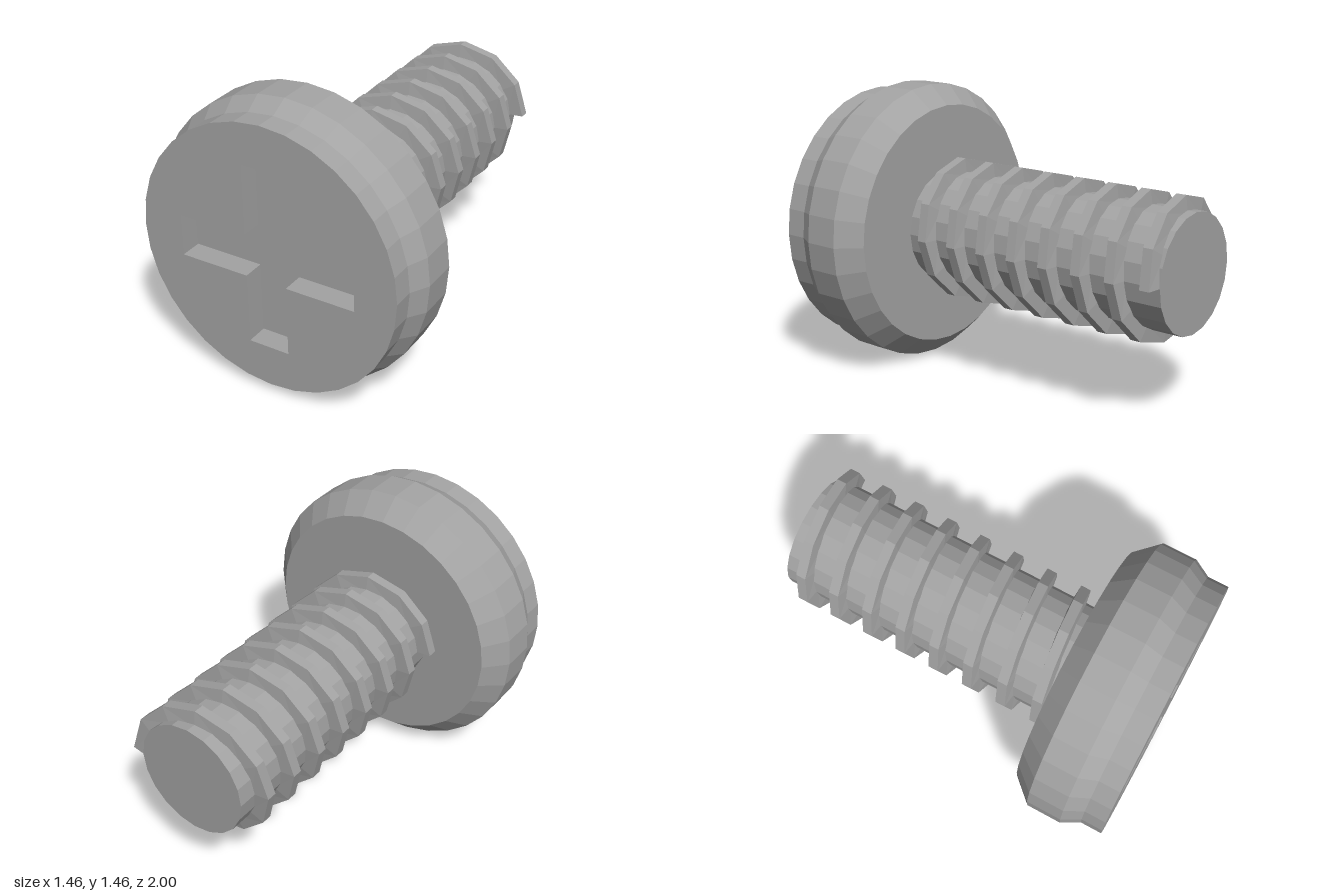
import * as THREE from 'three';

const AXIS_Y = 0.73; // height of the screw's axis

export function createModel() {
  const steel = new THREE.MeshStandardMaterial({ color: 0xa3a3a3, flatShading: true });
  steel.name = 'steel grey';

  const screw = new THREE.Group();
  screw.name = 'screw';

  const add = (name, geometry) => {
    const mesh = new THREE.Mesh(geometry, steel);
    mesh.name = name;
    mesh.position.y = AXIS_Y;
    screw.add(mesh);
  };

  // Head body: bevelled profile as [radius, z], closed at both ends
  const profile = [[0, 0.51], [0.63, 0.51], [0.73, 0.62], [0.73, 0.8], [0.68, 0.89], [0, 0.89]];
  const body = new THREE.LatheGeometry(profile.map(([r, z]) => new THREE.Vector2(r, z)), 32);
  add('headBody', body.rotateX(Math.PI / 2));

  // Head front: disc pierced by the cross-shaped drive recess
  const disc = new THREE.Shape();
  for (let i = 0; i < 32; i++) {
    const a = (i / 32) * Math.PI * 2;
    const x = 0.68 * Math.cos(a), y = 0.68 * Math.sin(a);
    if (i === 0) disc.moveTo(x, y);
    else disc.lineTo(x, y);
  }
  disc.closePath();
  const w = 0.107, l = 0.466;
  const cross = [[w, w], [w, l], [-w, l], [-w, w], [-l, w], [-l, -w],
    [-w, -w], [-w, -l], [w, -l], [w, -w], [l, -w], [l, w]];
  disc.holes.push(new THREE.Path(cross.map(([x, y]) => new THREE.Vector2(x, y))));
  const front = new THREE.ExtrudeGeometry(disc, { depth: 0.11, bevelEnabled: false });
  add('headFront', front.translate(0, 0, 0.89));

  // Shaft
  const shaft = new THREE.CylinderGeometry(0.295, 0.295, 1.51, 20);
  add('shaft', shaft.rotateX(Math.PI / 2).translate(0, 0, -0.245));

  add('thread', threadGeometry());
  return screw;
}

// Helical ridge with a trapezoid cross-section, 7.5 turns of 12 facets
function threadGeometry() {
  const turns = 7.5, steps = turns * 12, pitch = 0.19;
  const section = [[0.28, 0.038], [0.366, 0.026], [0.366, -0.026], [0.28, -0.037]];
  const positions = [], index = [];
  for (let i = 0; i <= steps; i++) {
    const a = -Math.PI / 2 + (i / 12) * Math.PI * 2; // measured from the top towards +x
    const z = 0.415 - (pitch * a) / (Math.PI * 2);
    for (const [r, dz] of section) positions.push(r * Math.sin(a), r * Math.cos(a), z + dz);
  }
  for (let i = 0; i < steps; i++) {
    for (let k = 0; k < 4; k++) {
      const a = i * 4 + k, b = i * 4 + ((k + 1) % 4);
      index.push(a, a + 4, b, b, a + 4, b + 4);
    }
  }
  // Blunt ends
  const e = steps * 4;
  index.push(0, 1, 2, 0, 2, 3, e, e + 2, e + 1, e, e + 3, e + 2);

  const indexed = new THREE.BufferGeometry();
  indexed.setAttribute('position', new THREE.Float32BufferAttribute(positions, 3));
  indexed.setIndex(index);
  const geometry = indexed.toNonIndexed();
  geometry.computeVertexNormals();
  return geometry;
}
